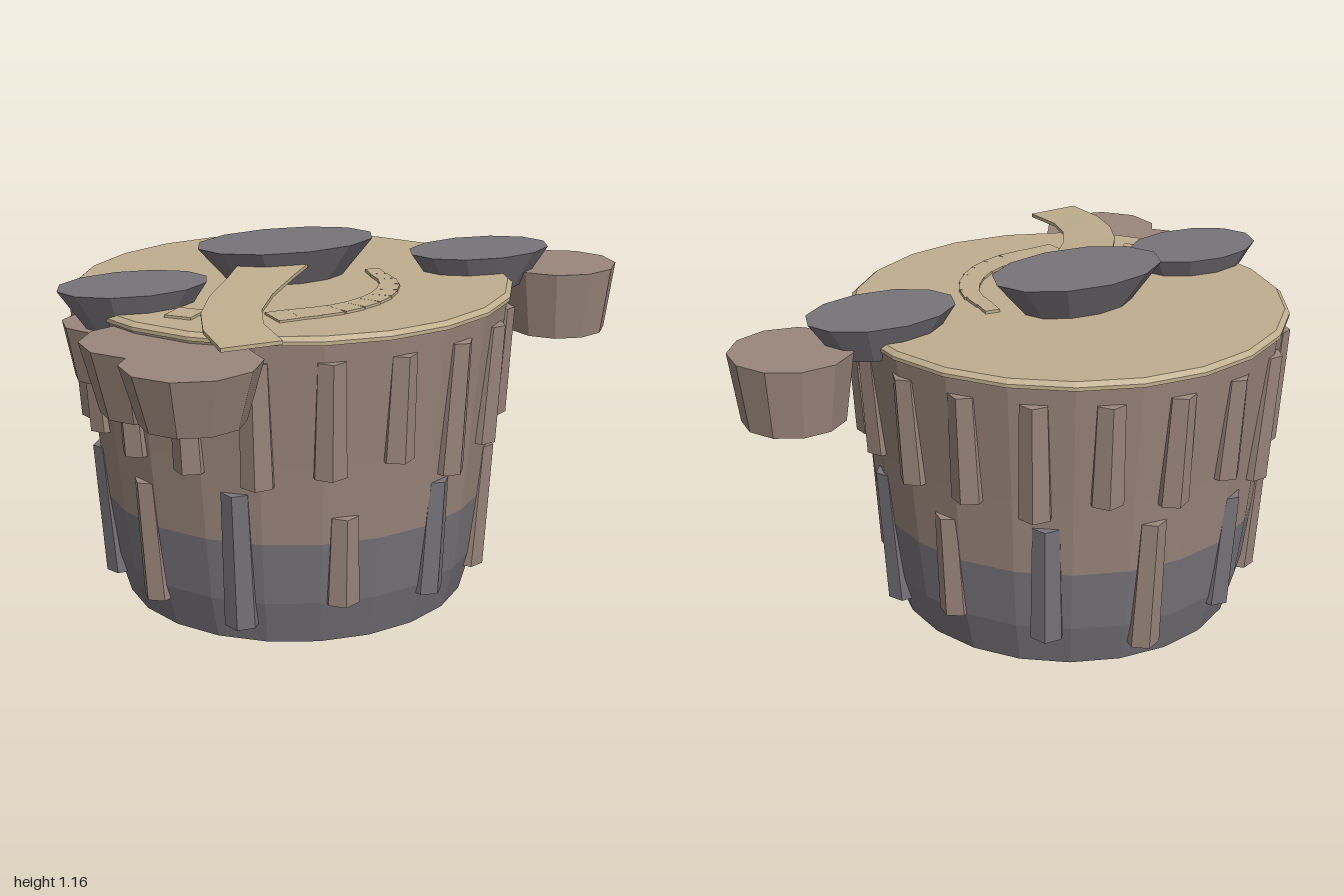
import * as THREE from 'three';

export function createModel() {
  const model = new THREE.Group();
  const mat = (name, color, side = THREE.FrontSide) => {
    const m = new THREE.MeshStandardMaterial({ color, flatShading: true, side });
    m.name = name;
    return m;
  };
  const brown = mat('brown rock', 0x9a867b);
  const gray = mat('gray rock', 0x78747a);
  const sand = mat('sand', 0xc0ae8e, THREE.DoubleSide);

  const add = (name, geometry, material, parent = model) => {
    const mesh = new THREE.Mesh(geometry, material);
    mesh.name = name;
    parent.add(mesh);
    return mesh;
  };
  const CX = -0.155, CZ = -0.067;

  // Main drum: gray base, brown wall, sandy top
  const drum = new THREE.Group();
  drum.name = 'drum';
  drum.position.set(CX, 0, CZ);
  model.add(drum);
  const lathe = (pts) => new THREE.LatheGeometry(pts.map(p => new THREE.Vector2(...p)), 22);
  add('base', lathe([[0, 0], [0.58, 0], [0.622, 0.15], [0.648, 0.36]]), gray, drum);
  add('wall', lathe([[0.648, 0.36], [0.673, 0.62], [0.718, 1.02]]), brown, drum);
  add('sandTop', lathe([[0.7, 1.02], [0.728, 1.02], [0.728, 1.032], [0.712, 1.045], [0, 1.045]]), sand, drum);

  // Hanging rock columns around the drum, leaning slightly outwards
  const column = (name, degrees, low, high, radius, material) => {
    const pivot = new THREE.Group();
    pivot.name = name;
    pivot.rotation.y = THREE.MathUtils.degToRad(degrees);
    drum.add(pivot);
    const c = add(name + 'Rock', new THREE.CylinderGeometry(0.05, 0.058, high - low, 6), material, pivot);
    c.position.set(0, (low + high) / 2, radius);
    c.rotation.x = 0.08;
  };
  const upperLow = [0.62, 0.53, 0.57, 0.6, 0.62, 0.6, 0.6, 0.57, 0.62, 0.59];
  for (let i = 0; i < 19; i++) {
    column('upperColumn', 4.5 + i * 360 / 19, i > 15 ? [0.59, 0.56, 0.59][i - 16] : upperLow[i % 10], 0.965, 0.67, brown);
  }
  const lowerSpan = [
    [0.12, 0.51], [0.1, 0.53], [0.065, 0.54], [0.15, 0.51], [0.12, 0.53], [0.07, 0.53],
    [0.12, 0.52], [0.1, 0.5], [0.08, 0.53], [0.1, 0.51], [0.07, 0.53], [0.15, 0.45],
  ];
  lowerSpan.forEach(([low, high], i) =>
    column('lowerColumn', 20 + i * 30, low, high, 0.618, i % 2 ? brown : gray));

  // Tapered boulders, given by centre, half sizes, height range and taper
  const boulder = (name, material, x, z, rx, rz, low, high, taper, sides) => {
    const b = add(name, new THREE.CylinderGeometry(1, taper, high - low, sides), material);
    b.scale.set(rx, 1, rz);
    b.position.set(x, (low + high) / 2, z);
  };
  boulder('middleRock', gray, -0.157, -0.118, 0.312, 0.192, 1.04, 1.165, 0.64, 12);
  boulder('rightRock', gray, -0.735, 0.01, 0.245, 0.17, 0.98, 1.107, 0.64, 12);
  boulder('leftRock', gray, 0.495, 0.028, 0.257, 0.17, 0.98, 1.107, 0.64, 12);
  boulder('leftLedge', brown, 0.8, 0.055, 0.2, 0.195, 0.8, 1.03, 0.84, 11);
  boulder('frontLedge', brown, -0.76, 0.59, 0.21, 0.2, 0.83, 1.01, 0.75, 10);
  boulder('sideLedge', brown, -0.8, 0.31, 0.2, 0.2, 0.79, 1.01, 0.72, 10);
  boulder('smallLedge', brown, -0.81, -0.05, 0.14, 0.145, 0.8, 0.98, 0.75, 9);

  // Curved sandy ramp: rows of [left x, left z, right x, right z, y]
  const rows = [
    [-0.36, -0.04, -0.13, 0.02, 1.12], [-0.45, 0.09, -0.25, 0.15, 1.113],
    [-0.57, 0.24, -0.38, 0.29, 1.1], [-0.65, 0.38, -0.47, 0.42, 1.091],
    [-0.7, 0.53, -0.515, 0.54, 1.083], [-0.715, 0.705, -0.525, 0.705, 1.075],
  ];
  const pos = [], idx = [];
  rows.forEach(([lx, lz, rx, rz, y], i) => {
    pos.push(lx, y, lz, rx, y, rz, rx, y - 0.012, rz, lx, y - 0.012, lz);
    if (i === rows.length - 1) return;
    for (let k = 0; k < 4; k++) {
      const a = i * 4 + k, b = i * 4 + (k + 1) % 4;
      idx.push(a, a + 4, b, b, a + 4, b + 4);
    }
  });
  const end = (rows.length - 1) * 4;
  idx.push(0, 1, 2, 0, 2, 3, end, end + 2, end + 1, end, end + 3, end + 2);
  const ramp = new THREE.BufferGeometry();
  ramp.setAttribute('position', new THREE.Float32BufferAttribute(pos, 3));
  ramp.setIndex(idx);
  ramp.computeVertexNormals();
  add('ramp', ramp, sand);

  // Low curved flight of steps on the sand
  const path = new THREE.CatmullRomCurve3([
    [0.12, -0.01], [0.09, 0.15], [-0.02, 0.29], [-0.18, 0.365], [-0.38, 0.37],
  ].map(([x, z]) => new THREE.Vector3(x, 1.047, z)));
  const STEPS = 11;
  for (let i = 0; i < STEPS; i++) {
    const t = i / (STEPS - 1);
    const step = add('step', new THREE.BoxGeometry(0.05 + 0.06 * t, 0.01, 0.075), sand);
    step.position.copy(path.getPointAt(t));
    step.position.y += 0.003 * (1 - t);
    const d = path.getTangentAt(t);
    step.rotation.y = Math.atan2(d.x, d.z);
  }

  // Small square slab beside the ramp
  const slab = add('slab', new THREE.BoxGeometry(0.1, 0.01, 0.09), sand);
  slab.position.set(-0.64, 1.048, 0.215);
  slab.rotation.y = 0.75;

  return model;
}
